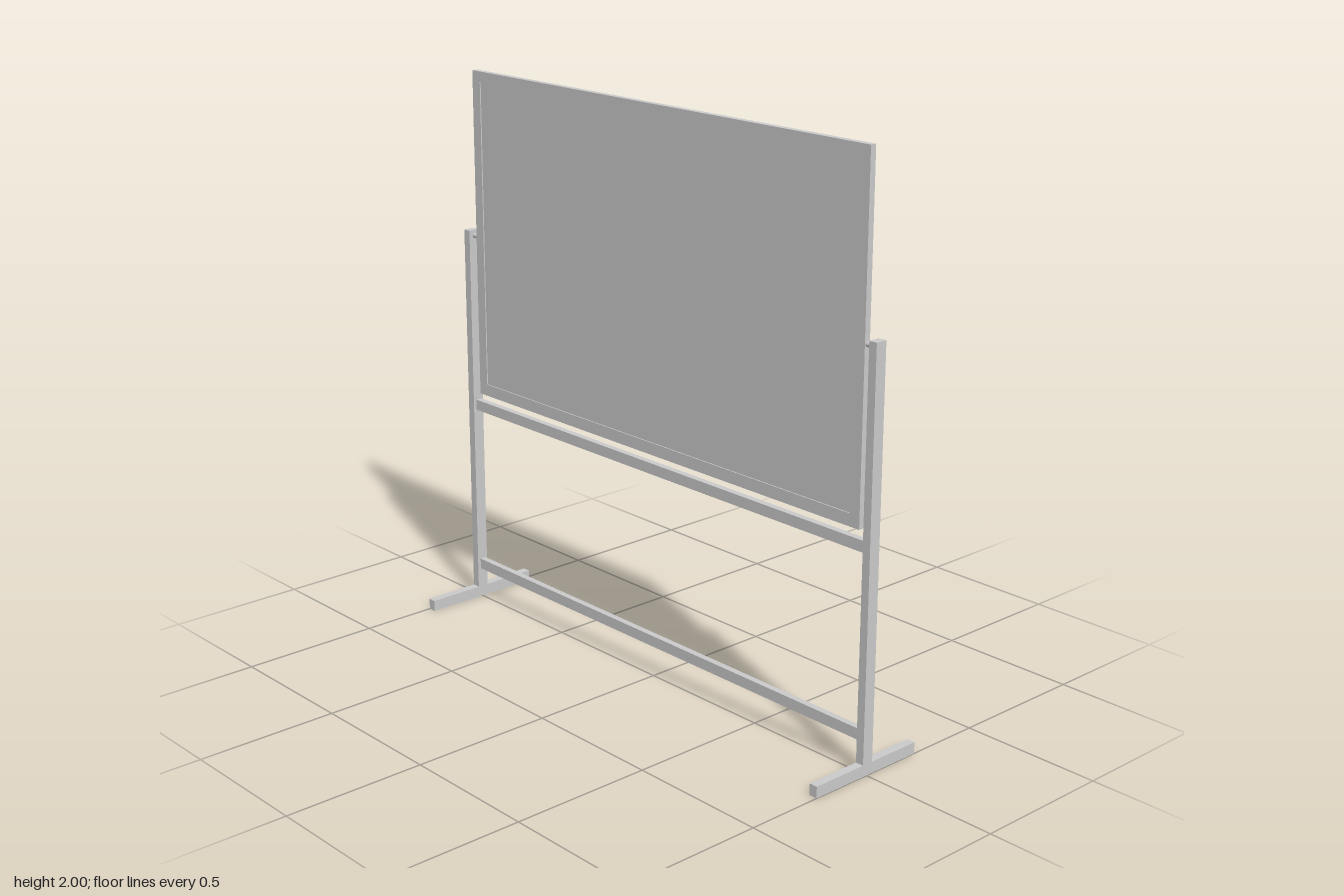
import * as THREE from 'three';

const material = new THREE.MeshStandardMaterial({ color: 0xcccccc });

// Box given by its low and high corners
function box(name, [x0, y0, z0], [x1, y1, z1]) {
  const mesh = new THREE.Mesh(new THREE.BoxGeometry(x1 - x0, y1 - y0, z1 - z0), material);
  mesh.position.set((x0 + x1) / 2, (y0 + y1) / 2, (z0 + z1) / 2);
  mesh.name = name;
  return mesh;
}

function rectangle(path, x, y0, y1) {
  path.moveTo(-x, y0);
  path.lineTo(x, y0);
  path.lineTo(x, y1);
  path.lineTo(-x, y1);
  path.closePath();
  return path;
}

export function createModel() {
  const model = new THREE.Group();
  model.name = 'mobileBoard';

  // Board: border frame around a slightly recessed writing panel, flush at the back
  const board = new THREE.Group();
  board.name = 'board';
  const outline = rectangle(new THREE.Shape(), 0.943, 0.812, 2);
  outline.holes.push(rectangle(new THREE.Path(), 0.902, 0.855, 1.963));
  const frame = new THREE.Mesh(
    new THREE.ExtrudeGeometry(outline, { depth: 0.021, bevelEnabled: false }), material);
  frame.position.z = -0.015;
  frame.name = 'boardFrame';
  board.add(frame, box('writingPanel', [-0.943, 0.812, -0.016], [0.943, 2, -0.015]),
    box('panelFace', [-0.902, 0.855, -0.015], [0.902, 1.963, 0.002]));
  model.add(board);

  // Stand: two T-shaped sides with a pivot pin each
  for (const [side, s] of [['left', 1], ['right', -1]]) {
    const stand = new THREE.Group();
    stand.name = side + 'Stand';
    const part = (name, inner, outer, y0, y1, z0, z1) =>
      stand.add(box(name, [Math.min(s * inner, s * outer), y0, z0],
        [Math.max(s * inner, s * outer), y1, z1]));
    part('post', 0.97, 1, 0.04, 1.42, -0.025, 0.017);
    part('foot', 0.97, 1, 0, 0.04, -0.226, 0.226);
    const pin = new THREE.Mesh(new THREE.CylinderGeometry(0.009, 0.009, 0.031, 16), material);
    pin.rotation.z = Math.PI / 2;
    pin.position.set(s * 0.957, 1.4, -0.006);
    pin.name = 'pivotPin';
    stand.add(pin);
    model.add(stand);
  }

  // Cross rails between the posts
  for (const [name, y] of [['upperRail', 0.742], ['lowerRail', 0.112]])
    model.add(box(name, [-0.97, y, -0.018], [0.97, y + 0.039, 0.005]));

  return model;
}
